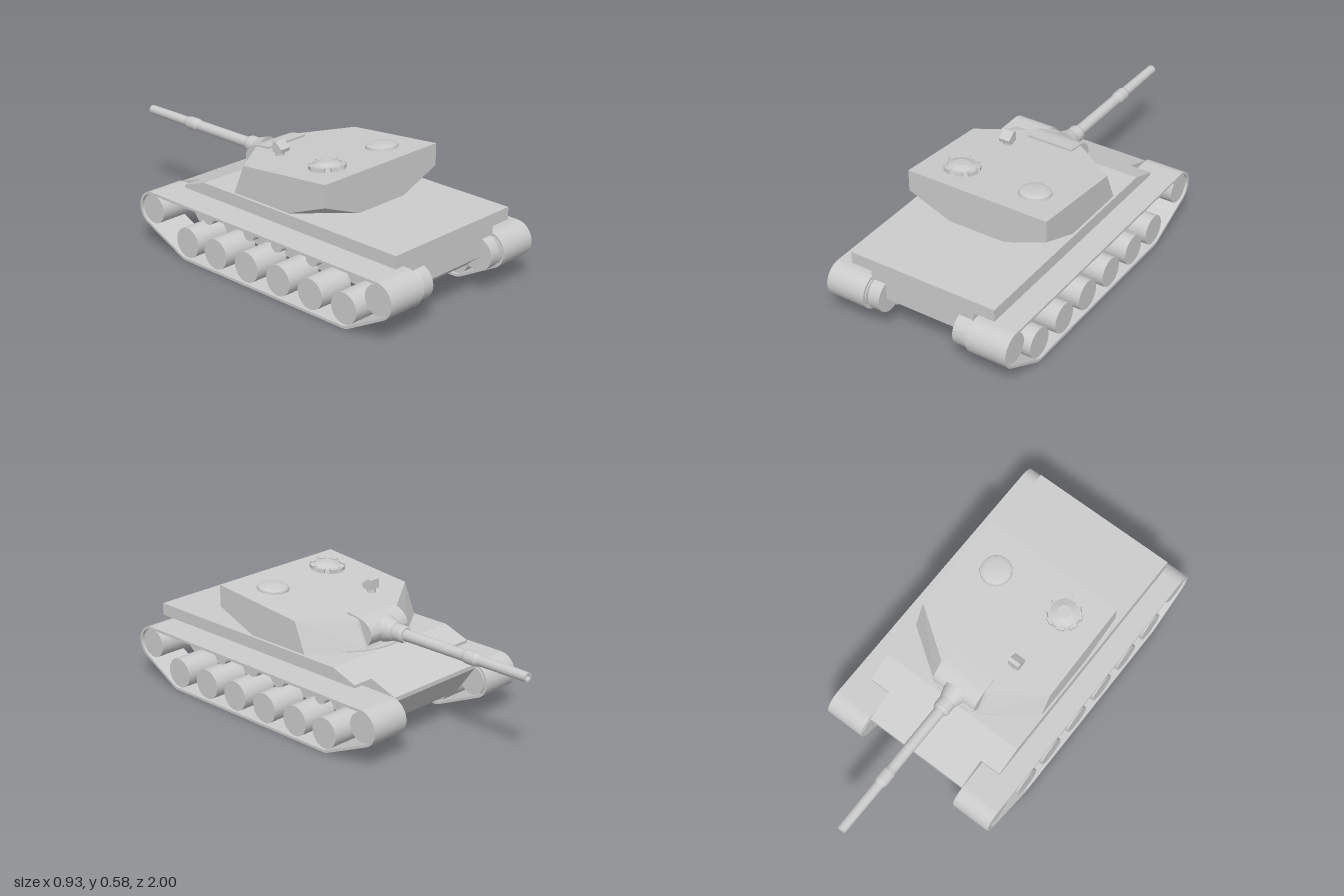
import * as THREE from 'three';
import { ConvexGeometry } from 'three/addons/geometries/ConvexGeometry.js';

const grey = new THREE.MeshStandardMaterial({ color: 0xcccccc });
const flat = new THREE.MeshStandardMaterial({ color: 0xcccccc, flatShading: true });

function add(parent, name, geometry, material = grey) {
  const mesh = new THREE.Mesh(geometry, material);
  mesh.name = name;
  parent.add(mesh);
}

// Side profile (z, y) extruded across x, from x0 to x1
function sideExtrude(shape, x0, x1) {
  const g = new THREE.ExtrudeGeometry(shape, { depth: x1 - x0, bevelEnabled: false, curveSegments: 16 });
  return g.rotateY(-Math.PI / 2).translate(x1, 0, 0);
}
const profile = (pts) => new THREE.Shape(pts.map(([z, y]) => new THREE.Vector2(z, y)));

// Cylinder lying along x
function axle(r, x0, x1, y, z, r2 = r) {
  return new THREE.CylinderGeometry(r2, r, x1 - x0, 28).rotateZ(-Math.PI / 2).translate((x0 + x1) / 2, y, z);
}

// Belt outline: a loop of equal circles joined by tangents
function belt(target, r) {
  const c = [[0.915, 0.187], [-0.476, 0.187], [-0.246, 0.085], [0.727, 0.085]];
  const normal = (a, b) => Math.atan2(-(b[0] - a[0]), b[1] - a[1]);
  c.forEach((p, i) => {
    const start = normal(c[(i + 3) % 4], p);
    let end = normal(p, c[(i + 1) % 4]);
    while (end < start) end += Math.PI * 2;
    target.absarc(p[0], p[1], r, start, end, false);
  });
  target.closePath();
  return target;
}

function buildRunningGear(side) {
  const gear = new THREE.Group();
  gear.name = side > 0 ? 'leftRunningGear' : 'rightRunningGear';
  const span = (a, b) => (side > 0 ? [a, b] : [-b, -a]);

  const loop = belt(new THREE.Shape(), 0.085);
  loop.holes.push(belt(new THREE.Path(), 0.073));
  add(gear, 'track', sideExtrude(loop, ...span(0.268, 0.465)));

  for (const z of [0.915, -0.476]) add(gear, 'endWheel', axle(0.07, ...span(0.265, 0.455), 0.187, z));
  for (const z of [0.727, 0.53, 0.337, 0.139, -0.06, -0.246])
    add(gear, 'roadWheel', axle(0.072, ...span(0.275, 0.455), 0.087, z));
  for (const z of [0.487, 0.273, 0.1, -0.166])
    add(gear, 'returnRoller', axle(0.034, ...span(0.25, 0.4), 0.218, z));

  // Drive housing with a tapered outer rim
  add(gear, 'finalDrive', axle(0.08, ...span(0.192, 0.25), 0.19, 0.91));
  const [a, b] = span(0.25, 0.266);
  add(gear, 'finalDriveRim', side > 0 ? axle(0.08, a, b, 0.19, 0.91, 0.068) : axle(0.068, a, b, 0.19, 0.91, 0.08));
  return gear;
}

function buildHull() {
  const hull = new THREE.Group();
  hull.name = 'hull';
  add(hull, 'lowerHull', sideExtrude(profile([
    [0.935, 0.185], [0.935, 0.364], [-0.22, 0.364], [-0.49, 0.27], [-0.49, 0.25], [-0.38, 0.1], [0.83, 0.1],
  ]), -0.265, 0.265));
  for (const x of [0.265, -0.37])
    add(hull, 'sponson', sideExtrude(profile([
      [0.935, 0.305], [0.935, 0.364], [-0.22, 0.364], [-0.35, 0.319], [-0.35, 0.305],
    ]), x, x + 0.105));
  add(hull, 'turretRing', new THREE.CylinderGeometry(0.3, 0.3, 0.012, 40).translate(0, 0.364, 0.08));
  return hull;
}

const roofY = (z) => 0.508 + 0.0935 * z;

function buildTurret() {
  const turret = new THREE.Group();
  turret.name = 'turret';

  // Faceted shell: sloped cheeks in front, cut lower corners behind
  const half = [
    [0.36, roofY(0.525), 0.525], [0.36, 0.452, 0.525], [0.145, 0.367, 0.525], [0.36, 0.367, 0.31],
    [0.36, 0.367, -0.03], [0.13, 0.367, -0.19], [0.36, roofY(0.03), 0.03], [0.13, roofY(-0.13), -0.13],
  ];
  const pts = half.flatMap(([x, y, z]) => [new THREE.Vector3(x, y, z), new THREE.Vector3(-x, y, z)]);
  add(turret, 'turretShell', new ConvexGeometry(pts), flat);

  // Rounded gun mantlet
  const curve = new THREE.Shape();
  curve.moveTo(-0.06, 0.375);
  curve.lineTo(-0.06, 0.512);
  curve.lineTo(-0.12, 0.505);
  curve.quadraticCurveTo(-0.2, 0.492, -0.21, 0.435);
  curve.quadraticCurveTo(-0.205, 0.395, -0.17, 0.375);
  add(turret, 'mantlet', sideExtrude(curve, -0.118, 0.118));
  add(turret, 'mantletNose', new THREE.CylinderGeometry(0.042, 0.062, 0.06, 24)
    .rotateX(-Math.PI / 2).translate(0, 0.436, -0.22));

  // Gun barrel with collar, sleeve and bore; repeated points keep the steps crisp
  const barrel = [[0, 0.15], [0.04, 0.15], [0.04, 0.295], [0.034, 0.31], [0.027, 0.31], [0.026, 0.65], [0.031, 0.67],
    [0.031, 0.72], [0.024, 0.74], [0.022, 1.0], [0.014, 1.0], [0.014, 0.96], [0, 0.96]];
  const crisp = barrel.flatMap(([r, l]) => [new THREE.Vector2(r, l), new THREE.Vector2(r, l)]).slice(1, -1);
  add(turret, 'gunBarrel', new THREE.LatheGeometry(crisp, 24).rotateX(-Math.PI / 2).translate(0, 0.436, 0));

  // Cupola with a ring of periscopes
  const tilt = -Math.atan(0.0935);
  const cupola = new THREE.Group();
  cupola.name = 'cupola';
  cupola.position.set(-0.182, roofY(0.37), 0.37);
  cupola.rotation.x = tilt;
  add(cupola, 'cupolaBase', new THREE.CylinderGeometry(0.074, 0.08, 0.022, 32).translate(0, 0.009, 0));
  add(cupola, 'cupolaHatch', new THREE.CylinderGeometry(0.03, 0.066, 0.014, 32).translate(0, 0.027, 0));
  for (let i = 0; i < 8; i++)
    add(cupola, 'periscope', new THREE.BoxGeometry(0.036, 0.018, 0.02)
      .translate(0, 0.015, 0.074).rotateY((i + 0.5) * Math.PI / 4));
  turret.add(cupola);

  // Domed hatch on the left of the roof
  const hatch = new THREE.Group();
  hatch.name = 'domedHatch';
  hatch.position.set(0.19, roofY(0.35), 0.35);
  hatch.rotation.x = tilt;
  add(hatch, 'hatchRim', new THREE.CylinderGeometry(0.074, 0.076, 0.01, 32).translate(0, 0.004, 0));
  add(hatch, 'hatchDome', new THREE.SphereGeometry(0.072, 32, 6, 0, Math.PI * 2, 0, Math.PI / 2)
    .scale(1, 0.19, 1).translate(0, 0.008, 0));
  turret.add(hatch);

  // Small sight head on the roof
  const sight = new THREE.Group();
  sight.name = 'roofSight';
  sight.position.set(-0.152, roofY(0.05), 0.05);
  add(sight, 'sightStem', new THREE.CylinderGeometry(0.02, 0.022, 0.035, 12).translate(0, 0.012, 0));
  add(sight, 'sightHead', sideExtrude(profile([
    [0.03, 0.02], [0.034, 0.038], [-0.005, 0.068], [-0.022, 0.064], [-0.022, 0.018], [0.005, 0.012],
  ]), -0.028, 0.028), flat);
  turret.add(sight);
  return turret;
}

export function createModel() {
  const model = new THREE.Group();
  model.name = 'tank';
  model.add(buildHull(), buildTurret(), buildRunningGear(1), buildRunningGear(-1));
  return model;
}
